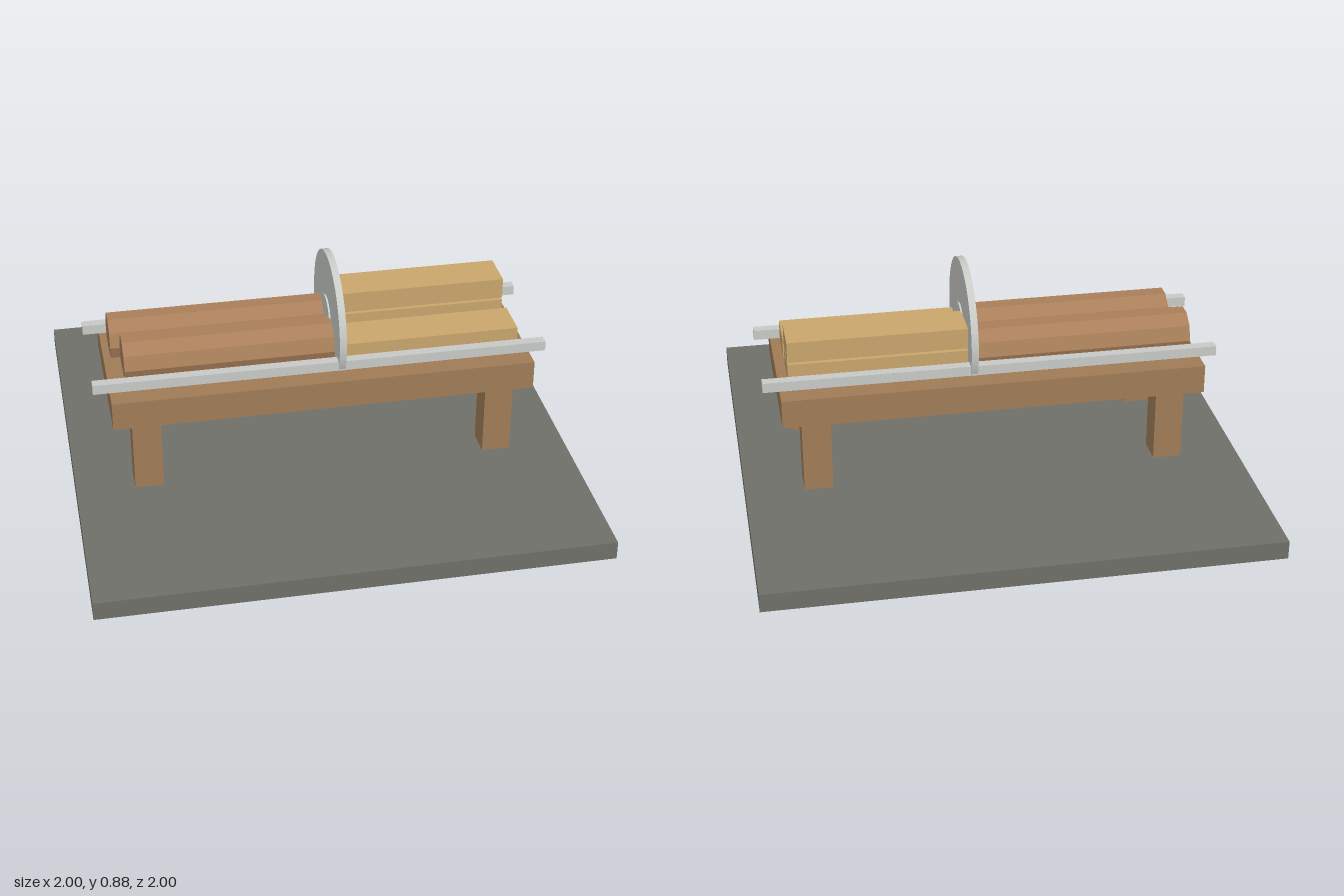
import * as THREE from 'three';

const mat = (name, color, flatShading = false) => {
  const m = new THREE.MeshStandardMaterial({ color, flatShading });
  m.name = name;
  return m;
};

export function createModel() {
  const model = new THREE.Group();
  model.name = 'sawmill';
  const stone = mat('stone grey', 0x70706a);
  const timber = mat('bench timber', 0xa07c57);
  const bark = mat('log brown', 0xa97f5a, true);
  const lumber = mat('fresh lumber', 0xc9a66d);
  const steel = mat('steel', 0xc8cac6);

  // Box given by its lower and upper limits on each axis
  const box = (name, material, [x0, x1], [y0, y1], [z0, z1]) => {
    const mesh = new THREE.Mesh(new THREE.BoxGeometry(x1 - x0, y1 - y0, z1 - z0), material);
    mesh.position.set((x0 + x1) / 2, (y0 + y1) / 2, (z0 + z1) / 2);
    mesh.name = name;
    model.add(mesh);
  };

  // Cylinder lying along x, from x0 to x1
  const rod = (name, material, r, sides, [x0, x1], y, z) => {
    const geometry = new THREE.CylinderGeometry(r, r, x1 - x0, sides);
    geometry.rotateZ(-Math.PI / 2);
    const mesh = new THREE.Mesh(geometry, material);
    mesh.position.set((x0 + x1) / 2, y, z);
    mesh.name = name;
    model.add(mesh);
    return mesh;
  };

  // Ground slab and bench
  box('base', stone, [-1, 1], [0, 0.075], [-1, 1]);
  box('benchTop', timber, [-0.842, 0.842], [0.375, 0.492], [-0.327, 0.327]);
  for (const sx of [-1, 1]) {
    for (const sz of [-1, 1]) {
      const x = sx * 0.71, z = sz * 0.242;
      box('leg', timber, [x - 0.057, x + 0.057], [0.075, 0.375], [z - 0.057, z + 0.057]);
    }
  }

  // Guide rails
  for (const z of [-0.232, 0.232]) {
    box('rail', steel, [-0.907, 0.907], [0.497, 0.537], [z - 0.02, z + 0.02]);
  }

  // Saw blade and hub
  rod('sawBlade', steel, 0.272, 40, [0.062, 0.09], 0.603, 0);
  rod('bladeHub', steel, 0.09, 24, [0.055, 0.097], 0.603, 0);

  // Ten-sided logs with an edge on top
  for (const [x, z] of [[-0.813, -0.101], [-0.775, 0.086]]) {
    const log = rod('log', bark, 0.098, 10, [x, 0.06], 0.544, z);
    log.rotation.x = Math.PI / 10 * 2;
  }

  // Sawn planks
  const planks = [[0.497, -0.117], [0.592, -0.117], [0.497, 0.117]];
  for (const [y, z] of planks) {
    box('plank', lumber, [0.092, 0.803], [y, y + 0.085], [z - 0.083, z + 0.083]);
  }
  return model;
}
